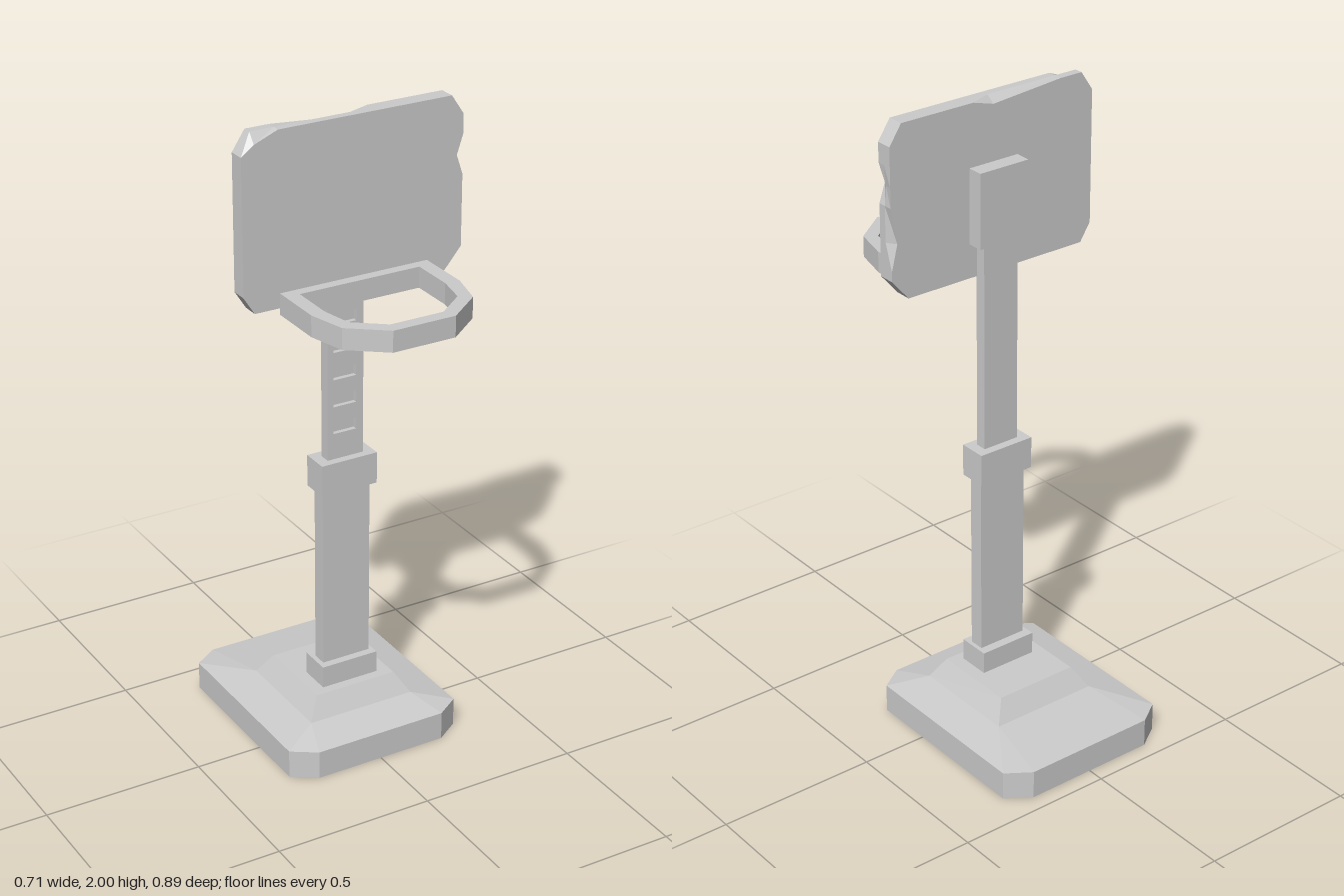
import * as THREE from 'three';

const material = new THREE.MeshStandardMaterial({ color: 0xcccccc, flatShading: true });

function add(parent, name, geometry) {
  const mesh = new THREE.Mesh(geometry, material);
  mesh.name = name;
  parent.add(mesh);
  return mesh;
}

// Box given by its minimum and maximum corners
function box(x0, x1, y0, y1, z0, z1) {
  return new THREE.BoxGeometry(x1 - x0, y1 - y0, z1 - z0)
    .translate((x0 + x1) / 2, (y0 + y1) / 2, (z0 + z1) / 2);
}

// Closed solid through rings of equal point count, capped at both ends
function loft(rings) {
  const pos = [];
  const tri = (...pts) => pts.forEach((p) => pos.push(p.x, p.y, p.z));
  const n = rings[0].length;
  const centre = (ring) => ring.reduce((s, p) => s.add(p), new THREE.Vector3()).divideScalar(n);
  const first = rings[0], last = rings[rings.length - 1];
  const c0 = centre(first), c1 = centre(last);
  for (let i = 0; i < n; i++) {
    const j = (i + 1) % n;
    for (let k = 0; k + 1 < rings.length; k++) {
      const a = rings[k], b = rings[k + 1];
      tri(a[i], a[j], b[j]);
      tri(a[i], b[j], b[i]);
    }
    tri(c0, first[j], first[i]);
    tri(c1, last[i], last[j]);
  }
  const g = new THREE.BufferGeometry();
  g.setAttribute('position', new THREE.Float32BufferAttribute(pos, 3));
  g.computeVertexNormals();
  return g;
}

// Horizontal rectangle with cut corners (cx, cz), as an eight-point ring
function plate(y, hx, z0, z1, cx = 0, cz = 0) {
  return [
    [-hx + cx, z1], [hx - cx, z1], [hx, z1 - cz], [hx, z0 + cz],
    [hx - cx, z0], [-hx + cx, z0], [-hx, z0 + cz], [-hx, z1 - cz],
  ].map(([x, z]) => new THREE.Vector3(x, y, z));
}

const toShape = (pts) => new THREE.Shape(pts.map(([x, y]) => new THREE.Vector2(x, y)));
const mirrorPath = (half) => [...half, ...half.map(([x, z]) => [-x, z]).reverse()];

export function createModel() {
  const model = new THREE.Group();
  model.name = 'basketballHoop';

  // Weighted base: cut-corner slab, sloping top and stepped plinth
  const base = new THREE.Group();
  base.name = 'base';
  model.add(base);
  add(base, 'baseSlab', loft([
    plate(0, 0.29, -0.447, 0.235, 0.075, 0.05),
    plate(0.09, 0.29, -0.447, 0.235, 0.075, 0.05),
    plate(0.115, 0.175, -0.23, 0.117),
  ]));
  add(base, 'plinth', loft([
    plate(0.115, 0.175, -0.23, 0.117),
    plate(0.18, 0.135, -0.19, 0.08),
  ]));
  add(base, 'baseCollar', box(-0.095, 0.093, 0.18, 0.25, -0.052, 0.05));

  // Telescoping pole
  const pole = new THREE.Group();
  pole.name = 'pole';
  model.add(pole);
  add(pole, 'lowerPost', box(-0.08, 0.08, 0.25, 0.84, -0.023, 0.025));
  add(pole, 'poleCollar', box(-0.093, 0.093, 0.83, 0.93, -0.043, 0.045));
  add(pole, 'upperPostBack', box(-0.06, 0.06, 0.92, 1.6, -0.016, 0.006));

  // Front of the upper post, with recessed height slots
  const face = toShape([[-0.06, 0.92], [0.06, 0.92], [0.06, 1.6], [-0.06, 1.6]]);
  for (let i = 0; i < 5; i++) {
    const y = 1.03 + i * 0.0865;
    face.holes.push(toShape([[-0.04, y - 0.018], [-0.04, y + 0.018], [0.036, y + 0.018], [0.036, y - 0.018]]));
  }
  add(pole, 'upperPostFront',
    new THREE.ExtrudeGeometry(face, { depth: 0.014, bevelEnabled: false }).translate(0, 0, 0.006));
  add(pole, 'boardBracket', box(-0.085, 0.085, 1.58, 1.81, -0.032, 0.02));

  // Backboard: worn edges differ between the back and front outlines
  const outline = (z, sideLow, sideHigh, topMid, topLeft) => [
    [-0.32, 1.475], [0.3, 1.475], [0.355, 1.54], [0.355, 1.57], [sideLow, 1.65], [0.355, 1.76],
    [sideHigh, 1.82], [0.355, 1.88], [0.355, 1.94], [0.315, 2], [0.07, 2], [0, topMid],
    [-0.24, 2], [-0.315, topLeft], [-0.355, 1.94], [-0.355, 1.53],
  ].map(([x, y]) => new THREE.Vector3(x, y, z));
  add(model, 'backboard', loft([
    outline(0.018, 0.335, 0.355, 1.98, 2),
    outline(0.045, 0.355, 0.35, 2, 2),
    outline(0.07, 0.355, 0.335, 2, 1.97),
  ]));

  // Angular hoop, extruded downward from its top face
  const rim = toShape(mirrorPath([[0.24, 0.07], [0.24, 0.245], [0.21, 0.36], [0.1, 0.445]]));
  rim.holes.push(toShape(mirrorPath([[0.195, 0.102], [0.195, 0.24], [0.175, 0.335], [0.085, 0.405]])));
  add(model, 'rim', new THREE.ExtrudeGeometry(rim, { depth: 0.065, bevelEnabled: false })
    .rotateX(Math.PI / 2).translate(0, 1.52, 0));

  return model;
}
